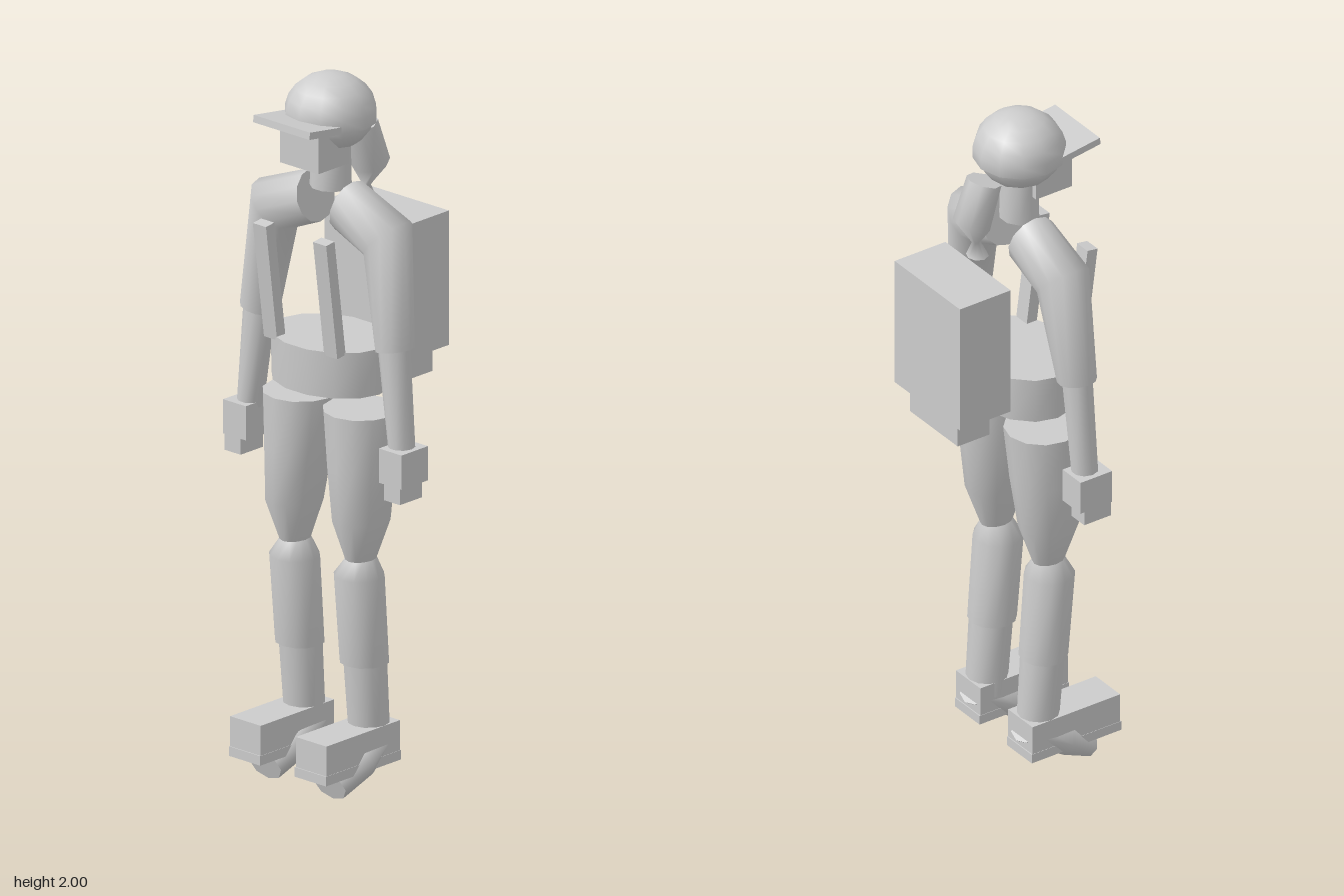
import * as THREE from 'three';

const grey = new THREE.MeshStandardMaterial({ color: 0xcccccc });
grey.name = 'plain grey';

// Smooth capped tube. Ring: [x, y, z, radiusX, radiusZ, tiltX, tiltZ], lowest ring first.
function loft(rings, seg = 10) {
  const pos = [], index = [];
  const points = rings.map(([x, y, z, rx, rz, tx = 0, tz = 0]) => {
    const tilt = new THREE.Euler(tx, 0, tz);
    return Array.from({ length: seg }, (_, j) => {
      const a = (j / seg) * Math.PI * 2;
      return new THREE.Vector3(rx * Math.cos(a), 0, rz * Math.sin(a))
        .applyEuler(tilt).add(new THREE.Vector3(x, y, z));
    });
  });
  points.forEach((ring) => ring.forEach((p) => pos.push(p.x, p.y, p.z)));
  for (let i = 0; i < rings.length - 1; i++) {
    for (let j = 0; j < seg; j++) {
      const k = (j + 1) % seg;
      const a = i * seg + j, b = i * seg + k, c = a + seg, d = b + seg;
      index.push(a, c, b, b, c, d);
    }
  }
  // flat end caps with their own vertices
  for (const end of [0, rings.length - 1]) {
    const start = pos.length / 3;
    pos.push(...rings[end].slice(0, 3));
    points[end].forEach((p) => pos.push(p.x, p.y, p.z));
    for (let j = 0; j < seg; j++) {
      const a = start + 1 + j, b = start + 1 + ((j + 1) % seg);
      if (end === 0) index.push(start, a, b);
      else index.push(start, b, a);
    }
  }
  const g = new THREE.BufferGeometry();
  g.setAttribute('position', new THREE.Float32BufferAttribute(pos, 3));
  g.setIndex(index);
  g.computeVertexNormals();
  return g;
}

// Box given by its minimum and maximum corners
function box(x0, x1, y0, y1, z0, z1) {
  return new THREE.BoxGeometry(x1 - x0, y1 - y0, z1 - z0)
    .translate((x0 + x1) / 2, (y0 + y1) / 2, (z0 + z1) / 2);
}

export function createModel() {
  const model = new THREE.Group();
  model.name = 'hiker';
  const add = (name, geometry, parent = model) => {
    const mesh = new THREE.Mesh(geometry, grey);
    mesh.name = name;
    parent.add(mesh);
    return mesh;
  };

  // Head, cap and hair
  add('head', new THREE.SphereGeometry(1, 12, 8).scale(0.118, 0.1, 0.118).translate(0, 1.885, 0.045));
  add('face', box(-0.07, 0.07, 1.76, 1.87, 0.05, 0.168));
  add('capDome', new THREE.SphereGeometry(1, 12, 6, 0, Math.PI * 2, 0, Math.PI * 0.55)
    .scale(0.127, 0.115, 0.127).translate(0, 1.885, 0.045));
  add('capBrim', new THREE.BoxGeometry(0.206, 0.02, 0.17).rotateX(-0.14).translate(0, 1.882, 0.153));
  add('neck', loft([[0, 1.68, 0.045, 0.058, 0.055], [0, 1.8, 0.045, 0.055, 0.053]]));
  add('ponytail', loft([
    [0, 1.603, -0.092, 0.032, 0.03],
    [0, 1.645, -0.096, 0.01, 0.012],
    [0, 1.705, -0.112, 0.055, 0.05, 0.35],
    [0, 1.828, -0.07, 0.05, 0.047, 0.3],
  ], 8));

  // Hips
  add('hips', loft([[0, 1.13, 0.045, 0.178, 0.138], [0, 1.26, 0.045, 0.18, 0.141]], 14));

  // Backpack and its bedroll
  add('backpack', box(-0.15, 0.15, 1.185, 1.566, -0.256, -0.09));
  add('bedroll', box(-0.11, 0.11, 1.107, 1.19, -0.235, -0.13));

  for (const [side, s] of [['left', 1], ['right', -1]]) {
    const group = new THREE.Group();
    group.name = side + 'Side';
    model.add(group);
    const tube = (name, rings, seg) => add(name, loft(
      rings.map(([x, y, z, rx, rz, tx = 0, tz = 0]) => [x * s, y, z, rx, rz, tx, tz * s]), seg), group);
    const block = (name, x0, x1, ...rest) =>
      add(name, s > 0 ? box(x0, x1, ...rest) : box(-x1, -x0, ...rest), group);

    // Shoulder strap
    add('strap', new THREE.BoxGeometry(0.048, 0.335, 0.033).rotateX(0.13)
      .translate(s * 0.11, 1.418, 0.168), group);

    // Arm
    tube('sleeve', [
      [0.247, 1.28, 0.058, 0.056, 0.053, 0, 0.18],
      [0.206, 1.578, 0.042, 0.082, 0.075, 0, 0.78],
      [0.06, 1.637, 0.04, 0.074, 0.073, 0, 1.32],
    ], 12);
    tube('forearm', [
      [0.277, 1.0, 0.063, 0.036, 0.037, 0, 0.12],
      [0.245, 1.29, 0.06, 0.046, 0.042, 0, 0.15],
    ]);
    block('palm', 0.243, 0.326, 0.915, 1.012, 0.014, 0.117);
    block('fingers', 0.262, 0.32, 0.87, 0.92, 0.03, 0.117);

    // Leg, pinched at the knee
    tube('thigh', [
      [0.12, 0.65, 0.055, 0.036, 0.045],
      [0.122, 0.77, 0.055, 0.075, 0.087],
      [0.115, 0.92, 0.048, 0.092, 0.098],
      [0.11, 1.075, 0.043, 0.105, 0.106],
    ], 12);
    tube('calf', [
      [0.118, 0.36, 0.04, 0.069, 0.066],
      [0.118, 0.61, 0.06, 0.071, 0.068],
      [0.12, 0.66, 0.055, 0.036, 0.045],
    ], 12);
    tube('ankle', [
      [0.118, 0.14, 0.02, 0.057, 0.057],
      [0.118, 0.38, 0.038, 0.061, 0.06],
    ], 12);

    // Shoe
    tube('shoe', [
      [0.118, 0.041, 0.175, 0.058, 0.043, -1.24],
      [0.118, 0.095, 0.085, 0.079, 0.056, -1.1],
      [0.118, 0.142, -0.02, 0.05, 0.037, -0.66],
    ], 8);
    block('shoeUpper', 0.064, 0.176, 0.1, 0.185, -0.037, 0.25);
    block('shoeSole', 0.063, 0.177, 0.073, 0.1, -0.04, 0.253);
  }
  return model;
}
